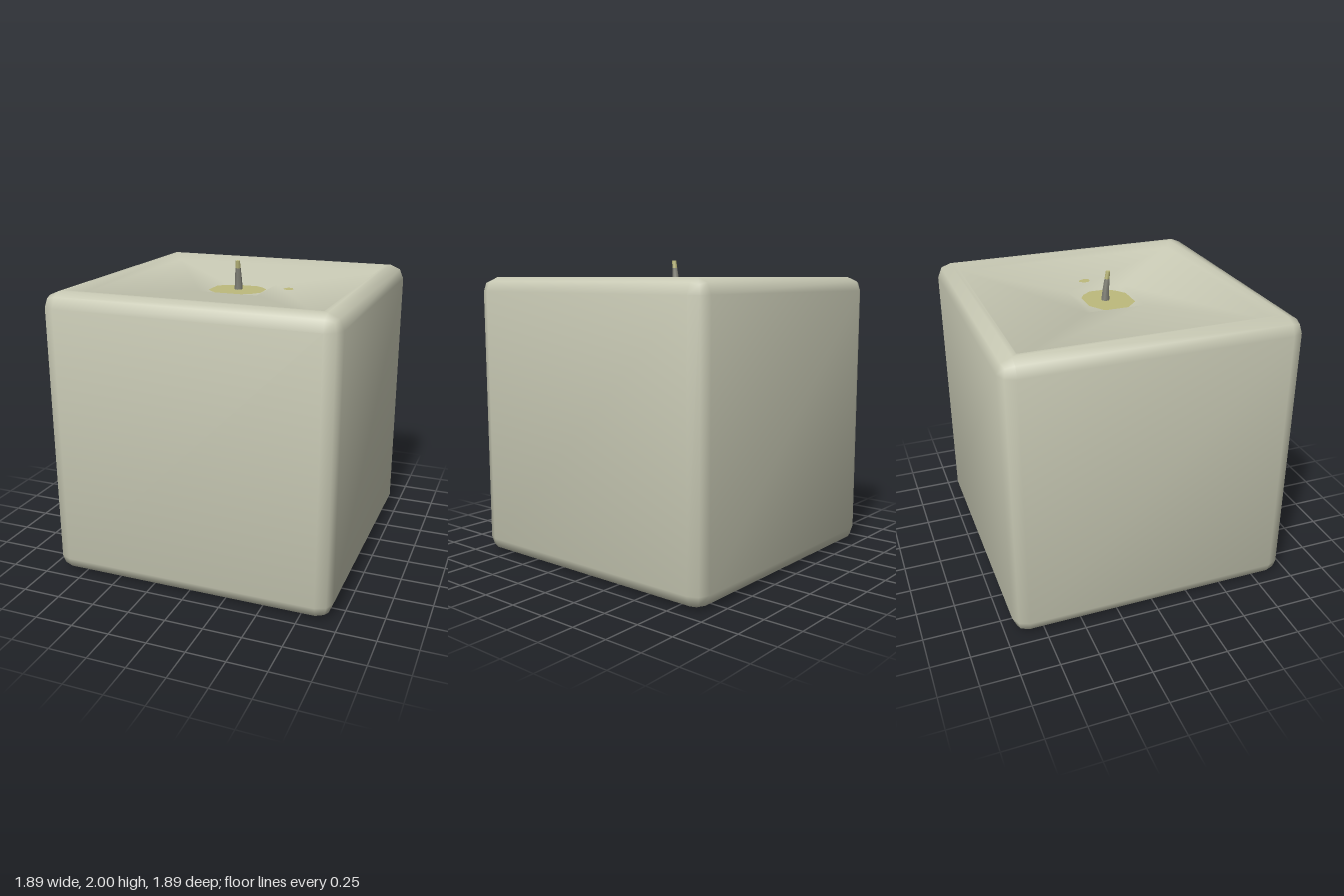
import * as THREE from 'three';
import { RoundedBoxGeometry } from 'three/addons/geometries/RoundedBoxGeometry.js';

const flat = (color, name, extra = {}) => new THREE.MeshStandardMaterial({ color, name, ...extra });

export function createModel() {
  const wax = flat(0xc8c9b4, 'wax');
  const melted = flat(0xbdba7c, 'meltedWax');
  const cord = flat(0x85857a, 'wickCord');
  const group = new THREE.Group();
  group.name = 'candle';
  const add = (name, geometry, material) => {
    const mesh = new THREE.Mesh(geometry, material);
    mesh.name = name;
    group.add(mesh);
    return mesh;
  };

  // Wax block: bevelled cube, open on top, with softly rounded normals
  const H = 0.945;
  const box = new RoundedBoxGeometry(2 * H, 2 * H, 2 * H, 1, 0.095);
  const p = box.attributes.position, n = box.attributes.normal;
  const pos = [], nor = [];
  const v = new THREE.Vector3(), m = new THREE.Vector3();
  for (let i = 0; i < p.count; i += 3) {
    if ([0, 1, 2].every((k) => p.getY(i + k) > H - 0.001)) continue;
    for (let k = 0; k < 3; k++) {
      v.fromBufferAttribute(p, i + k);
      m.fromBufferAttribute(n, i + k).addScaledVector(v, 0.23).normalize();
      pos.push(v.x, v.y + H, v.z);
      nor.push(m.x, m.y, m.z);
    }
  }
  const block = new THREE.BufferGeometry();
  block.setAttribute('position', new THREE.Float32BufferAttribute(pos, 3));
  block.setAttribute('normal', new THREE.Float32BufferAttribute(nor, 3));
  add('waxBlock', block, wax);

  // Sunken top: square rings of [half width, height, outward tilt of the normal]
  const rings = [
    [0.85, 1.89, 0.18], [0.82, 1.89, -0.05], [0.79, 1.845, -0.2],
    [0.2, 1.815, -0.2], [0.14, 1.78, -0.15],
  ];
  const corners = [[1, 1], [1, -1], [-1, -1], [-1, 1]];
  const bp = [], bn = [], index = [];
  rings.forEach(([h, y, t], r) => corners.forEach(([sx, sz], i) => {
    bp.push(sx * h, y, sz * h);
    m.set(sx * t, 1, sz * t).normalize();
    bn.push(m.x, m.y, m.z);
    if (r === 0) return;
    const o = (r - 1) * 4, a = o + i, b = o + (i + 1) % 4;
    index.push(a, b, b + 4, a, b + 4, a + 4);
  }));
  const last = (rings.length - 1) * 4;
  index.push(last, last + 1, last + 2, last, last + 2, last + 3);
  const basin = new THREE.BufferGeometry();
  basin.setAttribute('position', new THREE.Float32BufferAttribute(bp, 3));
  basin.setAttribute('normal', new THREE.Float32BufferAttribute(bn, 3));
  basin.setIndex(index);
  add('sunkenTop', basin, wax);

  // Melted wax: pool around the wick and one stray drop, outlines as [x, z]
  const puddle = (name, outline, y) => {
    const shape = new THREE.Shape(outline.map(([x, z]) => new THREE.Vector2(x, -z)));
    add(name, new THREE.ShapeGeometry(shape).rotateX(-Math.PI / 2), melted).position.y = y;
  };
  puddle('meltedPool', [[-0.18, -0.07], [-0.07, -0.14], [0.08, -0.14], [0.13, -0.11], [0.18, -0.05],
    [0.18, 0.07], [0.14, 0.12], [0.07, 0.17], [-0.1, 0.17], [-0.18, 0.09]], 1.807);
  puddle('meltedDrop', [[0.31, -0.04], [0.33, -0.07], [0.36, -0.06], [0.38, -0.02],
    [0.37, 0.01], [0.34, 0.01], [0.31, -0.01]], 1.827);

  // Wick: tapered cord leaning forward, with a waxed tip
  const wickPart = (name, y0, y1, r0, r1, material) => {
    const g = new THREE.CylinderGeometry(r1, r0, y1 - y0, 6, 3);
    g.translate(0, (y0 + y1) / 2, 0);
    const q = g.attributes.position;
    for (let i = 0; i < q.count; i++) {
      const rise = Math.max(0, q.getY(i) - 1.86);
      q.setZ(i, q.getZ(i) + 0.12 * rise);
    }
    g.computeVertexNormals();
    add(name, g, material);
  };
  wickPart('wick', 1.775, 1.95, 0.03, 0.018, cord);
  wickPart('wickTip', 1.95, 2, 0.018, 0.015, melted);
  return group;
}
